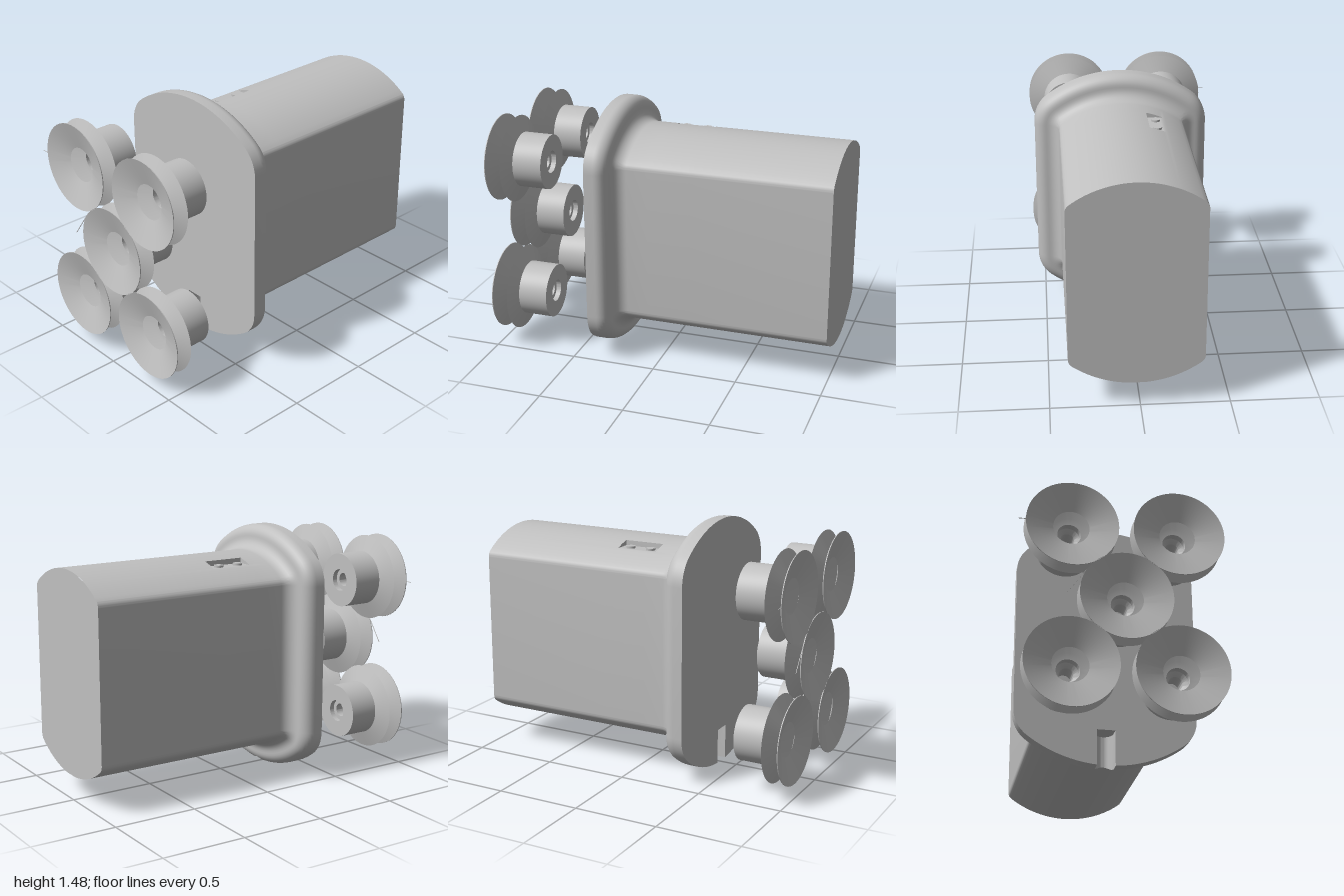
import * as THREE from 'three';
import { toCreasedNormals } from 'three/addons/utils/BufferGeometryUtils.js';

const CX = 0.02, CY = 0.75;           // axis of the housing
const HALF_W = 0.325, R = 0.545;      // core outline: circle clipped by two flat sides
const HALF_H = Math.sqrt(R * R - HALF_W * HALF_W);
const SKIN = 0.05, RIM = 0.195;       // offsets of body and flange from the core outline
const BACK = -1, FRONT = 0.39;
const GROOVE_R = 0.052, GROOVE_Z = 0.33, GROOVE_TOP = 0.22 - CY;

// Offset of the housing surface from the core outline at depth z
function offsetAt(z) {
  if (z <= 0.19) return SKIN;
  if (z <= 0.265) return SKIN + 0.075 - Math.sqrt(Math.max(0, 0.075 ** 2 - (z - 0.19) ** 2));
  if (z <= 0.335) return SKIN + 0.075 + Math.sqrt(Math.max(0, 0.07 ** 2 - (z - 0.335) ** 2));
  return RIM;
}

// Columns run counter-clockwise round the outline
function makeColumns() {
  const cols = [];
  const alpha = Math.atan2(HALF_H, HALF_W);
  const sweep = (from, to, steps, side, flag) => {
    for (let i = 0; i <= steps; i++) {
      const a = from + (to - from) * i / steps;
      const nx = Math.cos(a), ny = Math.sin(a);
      const corner = Math.abs(nx) > Math.cos(alpha) - 1e-9;
      const px = corner ? Math.sign(nx) * HALF_W : R * nx;
      const py = corner ? side * HALF_H : R * ny;
      const col = { px, py, nx, ny, flag };
      if (flag === 'groove') {
        const x = (R + RIM) * nx;
        col.cut = GROOVE_Z - Math.sqrt(Math.max(0, GROOVE_R ** 2 - x * x));
      }
      cols.push(col);
    }
  };
  const s1 = Math.acos(-0.135 / (R + SKIN)), s2 = Math.acos(-0.23 / (R + SKIN));
  const g = Math.asin(GROOVE_R / (R + RIM)), down = Math.PI * 1.5;
  sweep(0, alpha, 8, 1);
  sweep(alpha, s1, 20, 1);
  sweep(s1, s2, 6, 1, 'slot');
  sweep(s2, Math.PI - alpha, 8, 1);
  sweep(Math.PI - alpha, Math.PI, 8, 1);
  sweep(Math.PI, Math.PI + alpha, 8, -1);
  sweep(Math.PI + alpha, down - g, 14, -1);
  sweep(down - g, down + g, 16, -1, 'groove');
  sweep(down + g, 2 * Math.PI - alpha, 14, -1);
  sweep(2 * Math.PI - alpha, 2 * Math.PI, 8, -1);
  return cols;
}

function makeRings() {
  const rings = [
    { z: BACK }, { z: -0.18 }, { z: -0.18, slot: true },
    { z: 0.065, slot: true }, { z: 0.065 },
  ];
  for (let i = 0; i <= 8; i++) rings.push({ z: 0.19 + 0.075 * Math.sin(i / 8 * Math.PI / 2) });
  for (let i = 1; i <= 8; i++) rings.push({ z: 0.335 - 0.07 * Math.cos(i / 8 * Math.PI / 2) });
  rings.push({ z: FRONT });
  return rings;
}

const SLOT_Y = Math.sqrt((R + SKIN) ** 2 - 0.23 ** 2);

function surfacePoint(col, ring) {
  const z = col.flag === 'groove' ? Math.min(ring.z, col.cut) : ring.z;
  const d = offsetAt(z);
  const y = col.flag === 'slot' && ring.slot ? SLOT_Y : col.py + d * col.ny;
  return [col.px + d * col.nx, y, z];
}

// Body, flared flange, sunken slot and front groove as one skin
function housingGeometry() {
  const cols = makeColumns(), rings = makeRings(), last = rings[rings.length - 1];
  const pos = [];
  const tri = (a, b, c) => pos.push(...a, ...b, ...c);
  const quad = (a, b, c, d) => { tri(a, b, c); tri(a, c, d); };

  cols.forEach((col, i) => {
    const next = cols[(i + 1) % cols.length];
    for (let k = 0; k + 1 < rings.length; k++) {
      quad(surfacePoint(col, rings[k]), surfacePoint(next, rings[k]),
        surfacePoint(next, rings[k + 1]), surfacePoint(col, rings[k + 1]));
    }
  });

  // Flat ends
  const cap = (points, z, flip) => {
    const contour = points.filter((p, i) => {
      const q = points[(i + 1) % points.length];
      return Math.hypot(p[0] - q[0], p[1] - q[1]) > 1e-6;
    }).map((p) => new THREE.Vector2(p[0], p[1]));
    for (const f of THREE.ShapeUtils.triangulateShape(contour, [])) {
      const [a, b, c] = f.map((n) => [contour[n].x, contour[n].y, z]);
      if (flip) tri(a, c, b); else tri(a, b, c);
    }
  };
  cap(cols.filter((c) => !c.flag).map((c) => surfacePoint(c, rings[0])), BACK, true);
  const face = [];
  cols.forEach((c, i) => {
    if (c.flag !== 'groove') face.push(surfacePoint(c, last));
    else if (cols[i - 1].flag !== 'groove') face.push([-GROOVE_R, GROOVE_TOP], [GROOVE_R, GROOVE_TOP]);
  });
  cap(face, FRONT, false);

  // Groove wall and its ceiling
  const first = cols.findIndex((c) => c.flag === 'groove');
  const low = cols.slice(first - 1, first + 18).map((c) => surfacePoint(c, last));
  const high = low.map((p) => [p[0], GROOVE_TOP, p[2]]);
  for (let i = 0; i + 1 < low.length; i++) {
    quad(low[i], low[i + 1], high[i + 1], high[i]);
    tri(high[0], high[i], high[i + 1]);
  }

  const geo = new THREE.BufferGeometry();
  geo.setAttribute('position', new THREE.Float32BufferAttribute(pos, 3));
  return toCreasedNormals(geo, 0.5);
}

// Hollow bellows cup with a tubular stem, as [radius, z]
function cupGeometry() {
  const profile = [
    [0.04, 0.71], [0.065, 0.71], [0.065, 0.68], [0.16, 0.68], [0.16, 0.855],
    [0.255, 0.89], [0.132, 0.938], [0.255, 0.982], [0.255, 0.987],
    [0.1, 0.938], [0.22, 0.89], [0.1, 0.862], [0.065, 0.86], [0.065, 0.82],
    [0.05, 0.81], [0.04, 0.8], [0.04, 0.71],
  ].map(([r, z]) => new THREE.Vector2(r, z));
  return toCreasedNormals(new THREE.LatheGeometry(profile, 64).rotateX(Math.PI / 2), 0.4);
}

export function createModel() {
  const model = new THREE.Group();
  model.name = 'suctionGripper';
  const grey = new THREE.MeshStandardMaterial({ color: 0xc0c0c0 });
  grey.name = 'light grey';

  const add = (name, geometry, x, y, z) => {
    const mesh = new THREE.Mesh(geometry, grey);
    mesh.name = name;
    mesh.position.set(x, y, z);
    model.add(mesh);
    return mesh;
  };

  add('housing', housingGeometry(), CX, CY, 0);

  // Buttons in the slot
  const button = new THREE.CylinderGeometry(0.027, 0.027, 0.016, 32);
  for (const z of [-0.12, 0.01]) add('button', button, -0.165, CY + SLOT_Y + 0.004, z);

  // Five cups: one in the middle, four at the corners
  const cup = cupGeometry();
  add('suctionCup', cup, CX, CY, 0);
  for (const sx of [-1, 1]) {
    for (const sy of [-1, 1]) add('suctionCup', cup, CX + sx * 0.295, CY + sy * 0.41, 0);
  }

  // Fine threads beside the cups
  const thread = (x1, y1, x2, y2) => {
    const length = Math.hypot(x2 - x1, y2 - y1);
    const rod = add('thread', new THREE.BoxGeometry(length, 0.003, 0.003),
      (x1 + x2) / 2, (y1 + y2) / 2, 0.985);
    rod.rotation.z = Math.atan2(y2 - y1, x2 - x1);
  };
  thread(-0.3, 0.74, -0.2, 0.88);
  thread(-0.57, 1.16, -0.525, 1.16);
  return model;
}
